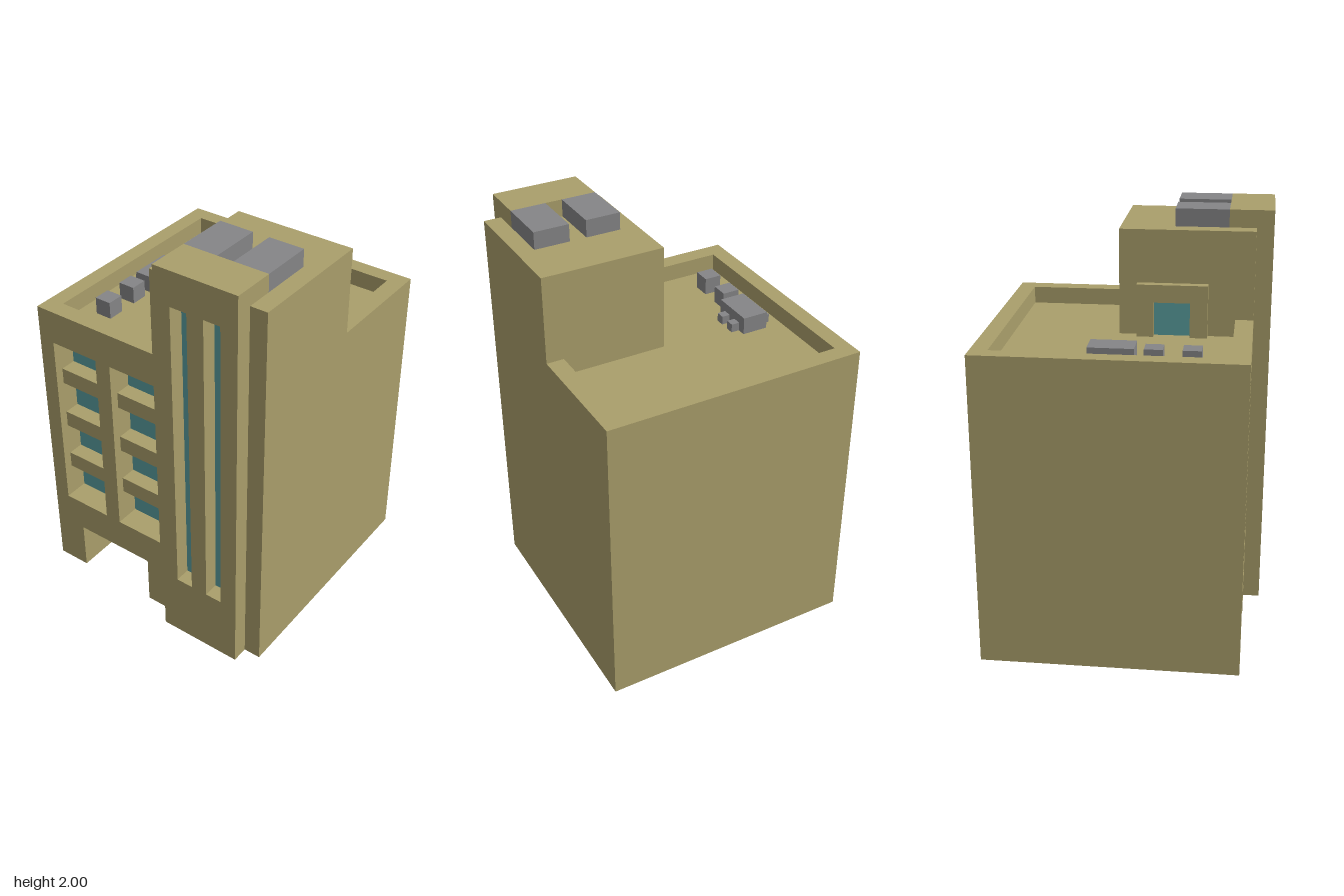
import * as THREE from 'three';

const mat = (name, color) => {
  const m = new THREE.MeshStandardMaterial({ color });
  m.name = name;
  return m;
};

export function createModel() {
  const wall = mat('sandWall', 0xaa9f6b);
  const glass = mat('tealGlass', 0x5a9fa0);
  const metal = mat('greyMetal', 0x858587);
  const group = new THREE.Group();
  group.name = 'building';

  const add = (name, geometry, material) => {
    const mesh = new THREE.Mesh(geometry, material);
    mesh.name = name;
    group.add(mesh);
    return mesh;
  };
  // Box given by its extents on each axis
  const box = (name, material, [x0, x1], [y0, y1], [z0, z1]) =>
    add(name, new THREE.BoxGeometry(x1 - x0, y1 - y0, z1 - z0), material)
      .position.set((x0 + x1) / 2, (y0 + y1) / 2, (z0 + z1) / 2);
  const polygon = (pts) => pts.map(([x, y]) => new THREE.Vector2(x, y));
  const rect = ([x0, x1], [y0, y1]) => polygon([[x0, y0], [x1, y0], [x1, y1], [x0, y1]]);
  const slab = (outline, holes, depth) => {
    const shape = new THREE.Shape(outline);
    holes.forEach((h) => shape.holes.push(new THREE.Path(h)));
    return new THREE.ExtrudeGeometry(shape, { depth, bevelEnabled: false });
  };

  const W = 0.625, back = -0.645, front = 0.565, roof = 1.417, top = 1.5;
  const windowBack = 0.44, entryBack = 0.265;
  const entryX = [-0.46, -0.042], entryH = 0.25;
  const columns = [[-0.545, -0.292], [-0.21, 0.042]];
  const windowY = [0.417, 1.333];

  // Main block with the entry and window recesses cut into its front layers
  box('mainBlock', wall, [-W, W], [0, roof], [back, entryBack]);
  const outline = polygon([[-W, 0], [entryX[0], 0], [entryX[0], entryH], [entryX[1], entryH],
    [entryX[1], 0], [W, 0], [W, roof], [-W, roof]]);
  add('entryLayer', slab(outline, [], windowBack - entryBack), wall).position.z = entryBack;
  add('facade', slab(outline, columns.map((c) => rect(c, windowY)), front - windowBack), wall)
    .position.z = windowBack;
  box('entryGlass', glass, entryX, [0, entryH], [entryBack, entryBack + 0.005]);

  // Window columns divided by balcony slabs
  columns.forEach((c) => {
    box('windowGlass', glass, c, windowY, [windowBack, windowBack + 0.005]);
    for (let i = 0; i < 3; i++) {
      const y = 0.585 + i * 0.25;
      box('balcony', wall, c, [y, y + 0.082], [windowBack, front - 0.042]);
    }
  });

  // Roof parapet
  const parapet = slab(rect([-W, W], [-front, -back]), [rect([-0.545, 0.542], [-0.48, 0.565])], top - roof);
  parapet.rotateX(-Math.PI / 2);
  add('parapet', parapet, wall).position.y = roof;

  // Stair tower and its projecting shaft with tall slit windows
  box('stairTower', wall, [0.042, W], [roof, 1.917], [-0.065, front]);
  const slits = [[0.208, 0.292], [0.375, 0.458]];
  const shaft = slab(rect([0.125, 0.542], [0, 2]), slits.map((s) => rect(s, [0.333, 1.833])), 0.645 - front);
  add('frontShaft', shaft, wall).position.z = front;
  slits.forEach((s) => box('slitGlass', glass, s, [0.333, 1.833], [front, front + 0.005]));
  box('shaftCap', wall, [0.125, 0.542], [1.917, 2], [0.438, front]);

  // Roof door with its frame
  const frame = { x: [0, 0.042] };
  box('doorPost', wall, frame.x, [roof, 1.667], [0.02, 0.1]);
  box('doorPost', wall, frame.x, [roof, 1.667], [0.27, 0.352]);
  box('doorLintel', wall, frame.x, [1.583, 1.667], [0.1, 0.27]);
  box('roofDoor', glass, [0.037, 0.042], [roof, 1.583], [0.1, 0.27]);

  // Ventilation units on the tower and the main roof
  [[0.125, 0.292], [0.373, 0.542]].forEach((x) => box('towerVent', metal, x, [1.917, 2], [0.188, 0.438]));
  [0.102, 0.27].forEach((z) => box('smallVent', metal, [-0.46, -0.377], [roof, top], [z, z + 0.083]));
  box('largeVent', metal, [-0.46, -0.335], [roof, top], [-0.148, 0.06]);
  [-0.107, -0.023].forEach((z) => box('ventDuct', metal, [-0.5, -0.295], [roof, 1.458], [z, z + 0.042]));

  return group;
}
